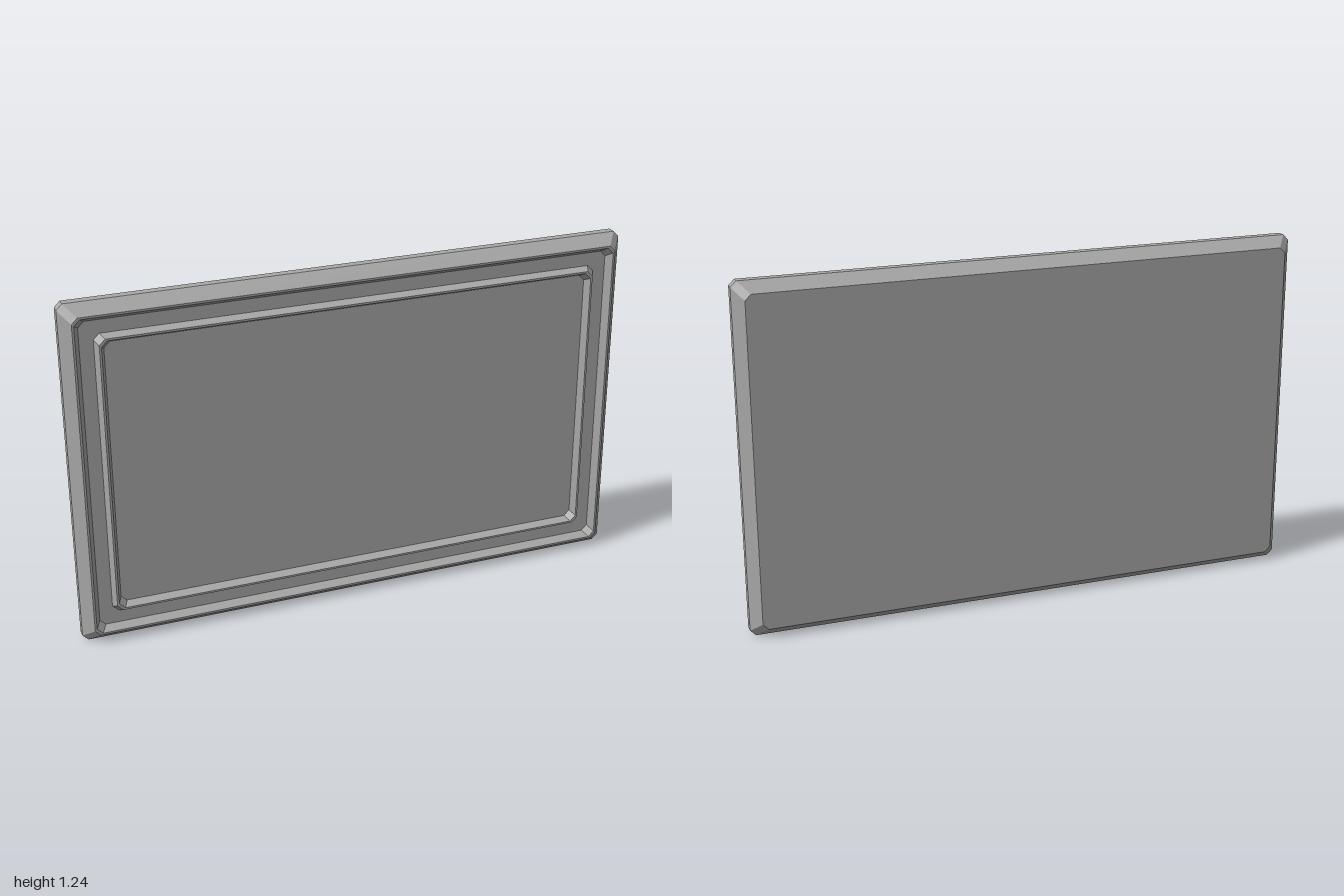
import * as THREE from 'three';

const W = 1, H = 0.6175; // half width and half height
const CUT = 0.02;        // corner chamfer

// Eight-sided rectangle, counter-clockwise from the front
function ring([inset, z]) {
  const x = W - inset, y = H - inset, c = CUT;
  return [
    [-x + c, -y], [x - c, -y], [x, -y + c], [x, y - c],
    [x - c, y], [-x + c, y], [-x, y - c], [-x, -y + c],
  ].map(([px, py]) => new THREE.Vector3(px, py + H, z));
}

// Joins successive [inset, z] rings, running from back to front
function band(profile, capBack, capFront) {
  const rings = profile.map(ring);
  const points = [];
  for (let r = 0; r < rings.length - 1; r++) {
    for (let k = 0; k < 8; k++) {
      const n = (k + 1) % 8, p = rings[r], q = rings[r + 1];
      points.push(p[k], p[n], q[n], p[k], q[n], q[k]);
    }
  }
  const first = rings[0], last = rings[rings.length - 1];
  for (let k = 1; k < 7; k++) {
    if (capBack) points.push(first[0], first[k + 1], first[k]);
    if (capFront) points.push(last[0], last[k], last[k + 1]);
  }
  const geometry = new THREE.BufferGeometry().setFromPoints(points);
  geometry.computeVertexNormals();
  return geometry;
}

export function createModel() {
  const group = new THREE.Group();
  group.name = 'framedPanel';
  const grey = new THREE.MeshStandardMaterial({ color: 0xa8a8a8 });
  grey.name = 'grey';

  const add = (name, geometry) => {
    const mesh = new THREE.Mesh(geometry, grey);
    mesh.name = name;
    group.add(mesh);
  };

  // Flat back and bevelled outer edge
  add('bevelledBody', band([[0.036, -0.0615], [0, -0.015], [0, 0.015], [0.036, 0.0615]], true, false));
  // Outer lip sloping down to the recessed border
  add('outerLip', band([[0.036, 0.0615], [0.043, 0.0615], [0.06, 0.035]], false, false));
  add('recessedBorder', band([[0.06, 0.035], [0.107, 0.035]], false, false));
  // Raised bead around the centre
  add('innerBead', band([[0.107, 0.035], [0.119, 0.0615], [0.126, 0.0615], [0.139, 0.035]], false, false));
  // Flat centre
  add('centrePanel', band([[0.139, 0.035]], false, true));

  return group;
}
